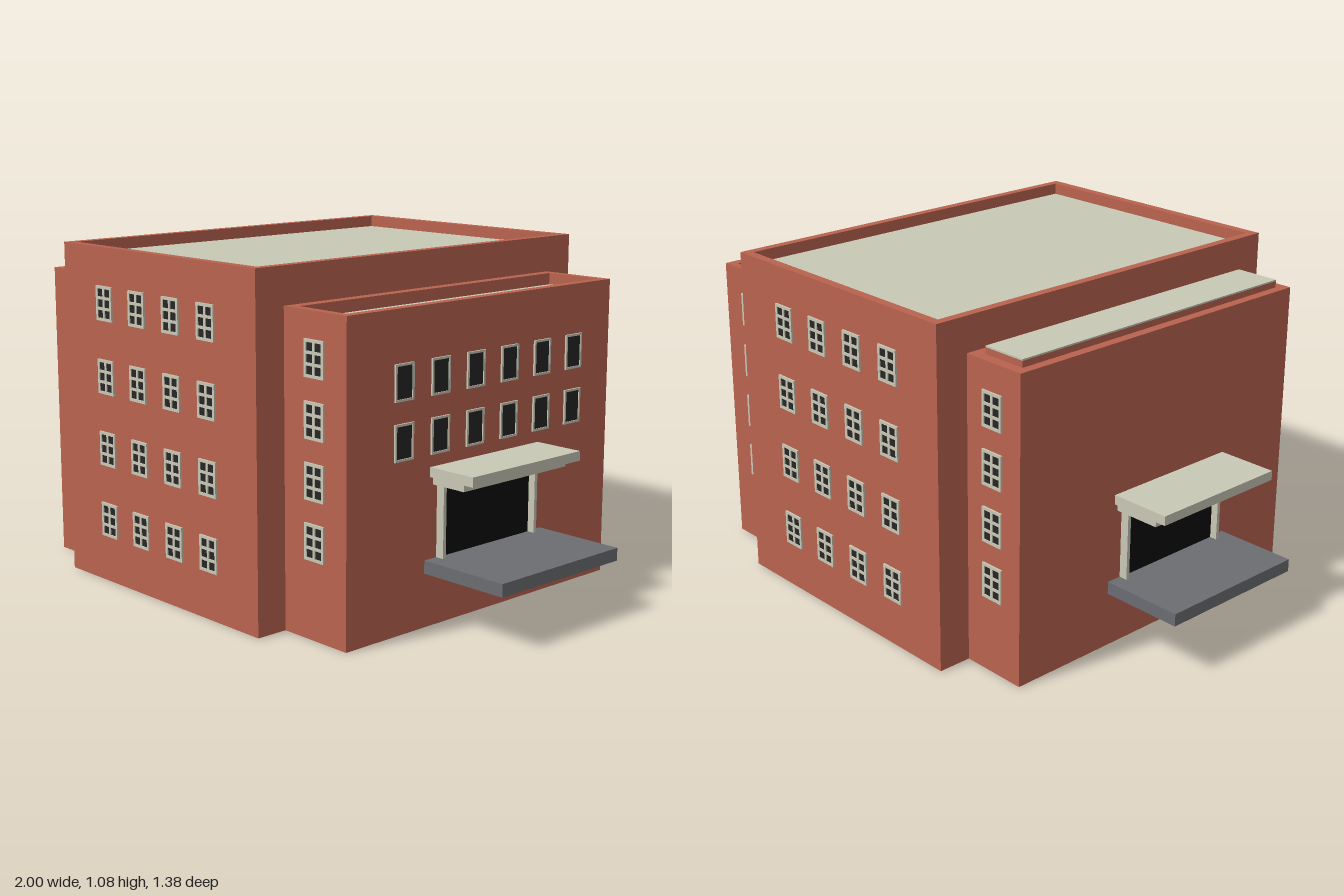
import * as THREE from 'three';

const mat = (color) => new THREE.MeshStandardMaterial({ color, flatShading: true });
const brick = mat(0xb9634f), stone = mat(0xc9c8b6), concrete = mat(0x6c6d72);
const glass = mat(0x262626), black = mat(0x0d0d0d);

// Box given by its lower and upper limits on each axis
function box(name, material, [x0, x1], [y0, y1], [z0, z1]) {
  const mesh = new THREE.Mesh(new THREE.BoxGeometry(x1 - x0, y1 - y0, z1 - z0), material);
  mesh.position.set((x0 + x1) / 2, (y0 + y1) / 2, (z0 + z1) / 2);
  mesh.name = name;
  return mesh;
}

function rect(PathType, x0, x1, y0, y1) {
  return new PathType([[x0, y0], [x1, y0], [x1, y1], [x0, y1]].map((p) => new THREE.Vector2(...p)));
}

// Brick block with a parapet around a sunken roof
function block(name, [x0, x1], [z0, z1], height, drop, rim) {
  const group = new THREE.Group();
  group.name = name;
  const deck = height - drop;
  group.add(box('walls', brick, [x0, x1], [0, deck], [z0, z1]));
  const shape = rect(THREE.Shape, x0, x1, -z1, -z0);
  shape.holes.push(rect(THREE.Path, x0 + rim[0], x1 - rim[1], -z1 + rim[2], -z0 - rim[2]));
  const parapet = new THREE.Mesh(
    new THREE.ExtrudeGeometry(shape, { depth: drop, bevelEnabled: false }), brick);
  parapet.rotation.x = -Math.PI / 2;
  parapet.position.y = deck;
  parapet.name = 'parapet';
  group.add(parapet, box('roof', stone, [x0 + rim[0], x1 - rim[1]], [deck - 0.01, deck + 0.003],
    [z0 + rim[2], z1 - rim[2]]));
  return group;
}

// Window facing +z: a frame with a grid of panes
function makeWindow(w, h, cols, rows, border) {
  const group = new THREE.Group();
  group.name = 'window';
  const shape = rect(THREE.Shape, -w / 2, w / 2, -h / 2, h / 2);
  const pw = (w - border * (cols + 1)) / cols, ph = (h - border * (rows + 1)) / rows;
  for (let i = 0; i < cols; i++) {
    for (let j = 0; j < rows; j++) {
      const x = -w / 2 + border + i * (pw + border), y = -h / 2 + border + j * (ph + border);
      shape.holes.push(rect(THREE.Path, x, x + pw, y, y + ph));
    }
  }
  const frame = new THREE.Mesh(
    new THREE.ExtrudeGeometry(shape, { depth: 0.006, bevelEnabled: false }), stone);
  frame.name = 'windowFrame';
  const pane = new THREE.Mesh(new THREE.PlaneGeometry(w, h), glass);
  pane.position.z = 0.003;
  pane.name = 'windowPane';
  group.add(frame, pane);
  return group;
}

// Entrance on a side wall; side is +1 or -1, distances run outward from the wall
function entrance(name, side, wall, zMid, base, platform, canopy) {
  const group = new THREE.Group();
  group.name = name;
  const out = (a, b) => (side > 0 ? [wall + a, wall + b] : [-wall - b, -wall - a]);
  const across = (a, b) => [zMid + a, zMid + b];
  const top = base + 0.225;
  group.add(
    box('platform', concrete, out(0, platform.depth), [base - 0.04, base], platform.z),
    box('doorway', black, out(0, 0.004), [base, top], across(-0.2, 0.2)),
    box('doorPost', stone, out(0, 0.028), [base, top], across(-0.21, -0.198)),
    box('doorPost', stone, out(0, 0.028), [base, top], across(0.198, 0.21)),
    box('canopyLower', stone, out(0, canopy - 0.045), [top, top + 0.024], across(-0.228, 0.228)),
    box('canopyUpper', stone, out(0, canopy), [top + 0.024, top + 0.054], across(-0.24, 0.24)));
  return group;
}

export function createModel() {
  const model = new THREE.Group();
  model.name = 'building';

  // Main block and the two side wings
  model.add(
    block('mainBlock', [-0.51, 0.43], [-0.685, 0.68], 1.08, 0.04, [0.028, 0.028, 0.03]),
    block('leftWing', [-0.73, -0.51], [-0.575, 0.575], 0.97, 0.03, [0.03, 0.04, 0.035]),
    block('rightWing', [0.43, 0.69], [-0.575, 0.575], 0.965, 0.04, [0.035, 0.03, 0.028]));

  // Raised roof slab on the left wing
  model.add(
    box('roofSlab', brick, [-0.70, -0.55], [0.93, 0.99], [-0.54, 0.54]),
    box('roofSlabTop', stone, [-0.70, -0.55], [0.99, 0.995], [-0.54, 0.54]));

  // Front and back windows
  const paned = makeWindow(0.08, 0.11, 2, 3, 0.009);
  const addPair = (x, y, front, back) => {
    for (const s of [1, -1]) {
      const win = paned.clone();
      win.position.set(x, y, s > 0 ? front : back);
      if (s < 0) win.rotation.y = Math.PI;
      model.add(win);
    }
  };
  for (let row = 0; row < 4; row++) {
    for (const x of [-0.295, -0.128, 0.04, 0.207]) addPair(x, 0.205 + row * 0.233, 0.68, -0.685);
    for (const x of [-0.617, 0.56]) addPair(x, 0.295 + row * 0.178, 0.575, -0.575);
  }

  // Plain windows on the right wall
  const plain = makeWindow(0.076, 0.11, 1, 1, 0.007);
  for (const y of [0.578, 0.753]) {
    for (let i = 0; i < 6; i++) {
      const win = plain.clone();
      win.position.set(0.69, y, 0.352 - i * 0.15);
      win.rotation.y = Math.PI / 2;
      model.add(win);
    }
  }

  // Entrances
  model.add(
    entrance('rightEntrance', 1, 0.69, 0, 0.207, { depth: 0.305, z: [-0.26, 0.26] }, 0.168),
    entrance('leftEntrance', -1, 0.73, 0.047, 0.215, { depth: 0.27, z: [-0.213, 0.305] }, 0.198));

  return model;
}
